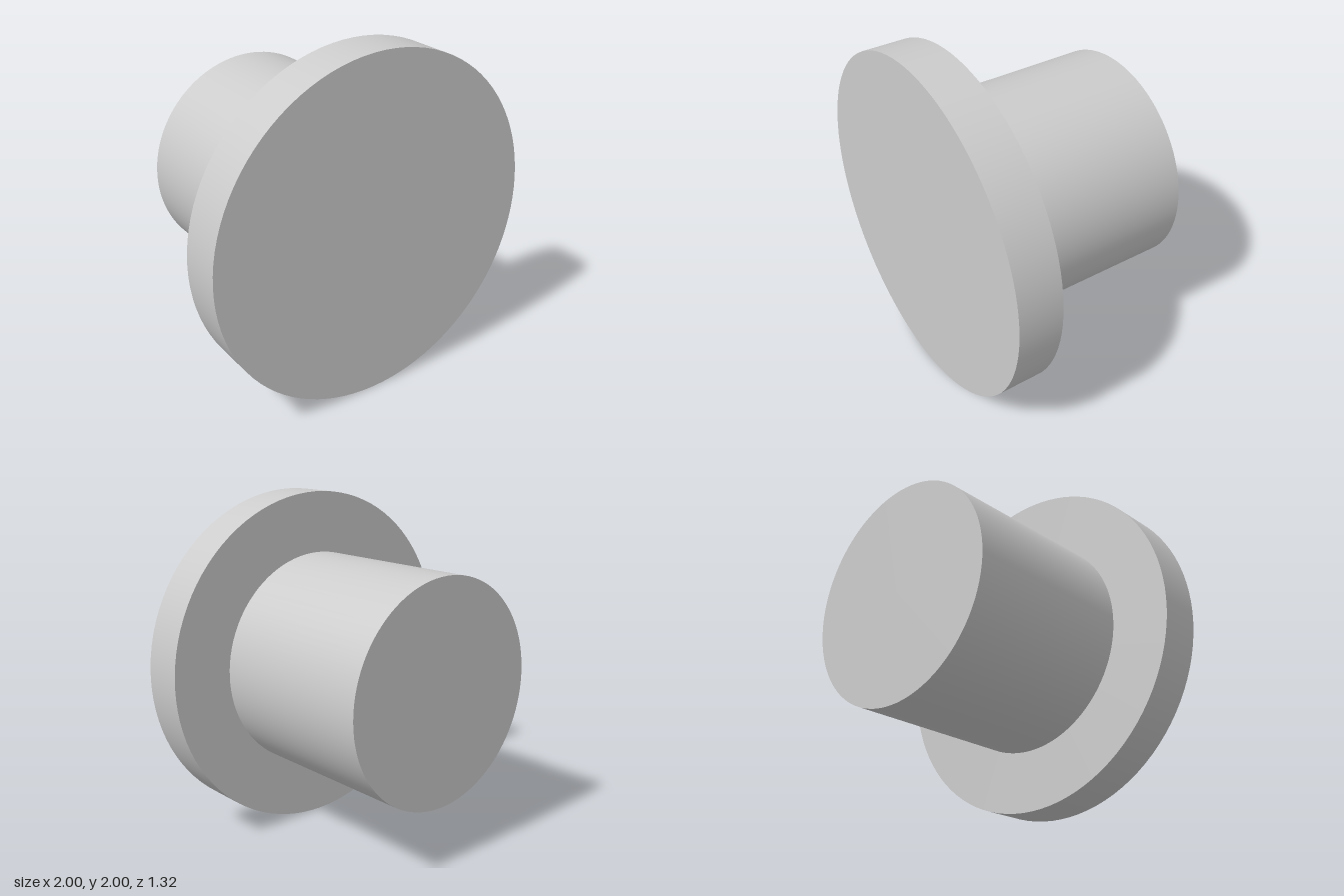
import * as THREE from 'three';

const AXIS_HEIGHT = 1;

export function createModel() {
  const model = new THREE.Group();
  model.name = 'flangedPin';
  const material = new THREE.MeshStandardMaterial({ color: 0xcccccc });

  // Solid round part lying along z, between two z positions
  function addDisc(name, radius, zBack, zFront) {
    const geometry = new THREE.CylinderGeometry(radius, radius, zFront - zBack, 96);
    geometry.rotateX(Math.PI / 2);
    const mesh = new THREE.Mesh(geometry, material);
    mesh.name = name;
    mesh.position.set(0, AXIS_HEIGHT, (zBack + zFront) / 2);
    model.add(mesh);
  }

  // Wide head at the front
  addDisc('head', 1, 0.4, 0.66);
  // Narrower shank running to the back
  addDisc('shank', 0.644, -0.66, 0.4);

  return model;
}
